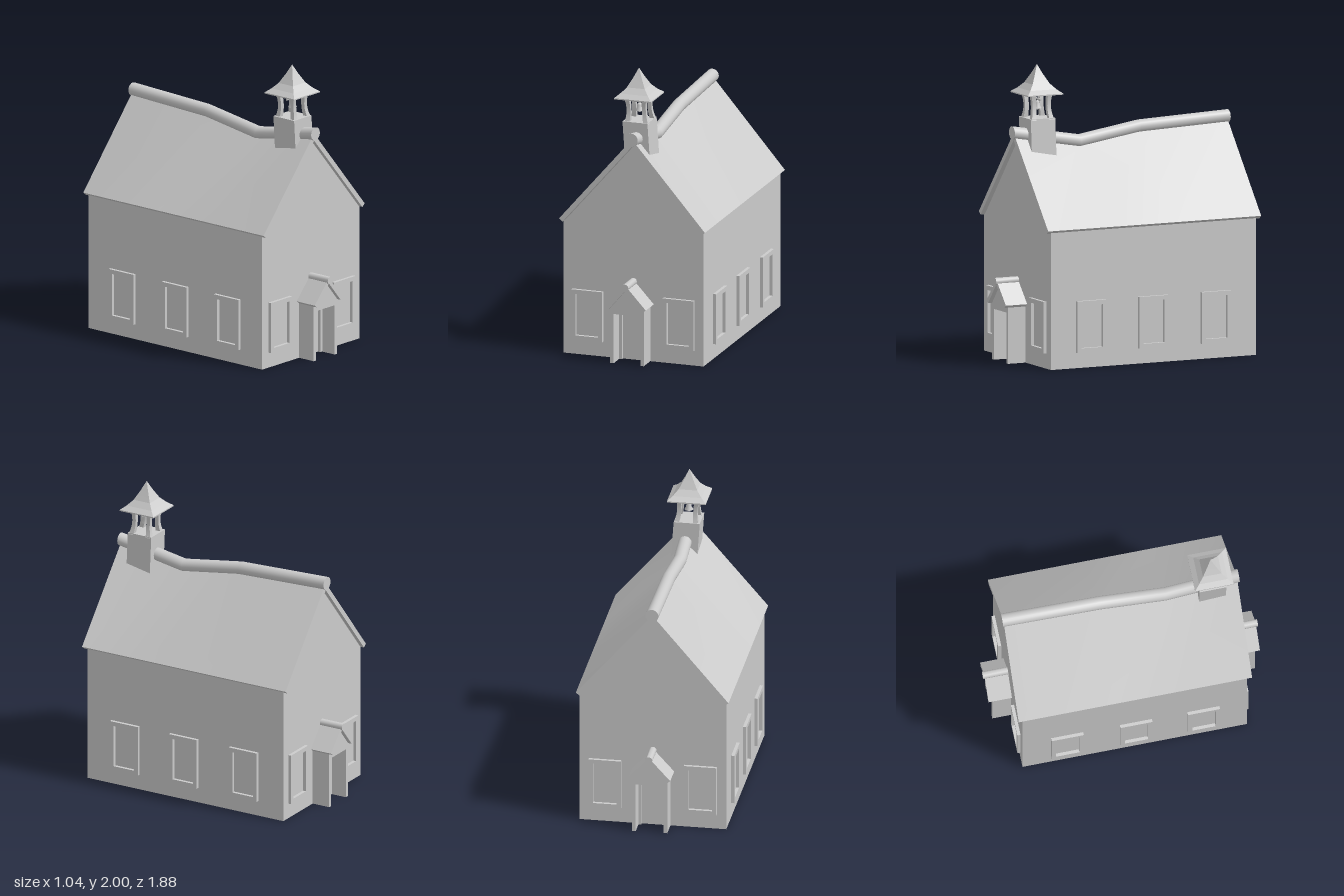
import * as THREE from 'three';
import { toCreasedNormals } from 'three/addons/utils/BufferGeometryUtils.js';

const grey = new THREE.MeshStandardMaterial({ color: 0xcccccc });
const greyDouble = new THREE.MeshStandardMaterial({ color: 0xcccccc, side: THREE.DoubleSide });

// Stations of the sagging ridge line: [z, height]
const RIDGE = [[0.8, 1.547], [0.31, 1.46], [-0.14, 1.53], [-0.8, 1.555]];

function add(parent, name, geometry, material = grey) {
  const mesh = new THREE.Mesh(geometry, material);
  mesh.name = name;
  parent.add(mesh);
  return mesh;
}

// Skins 2D outlines (counter-clockwise seen from +z) placed at falling z.
function loft(sections, zs, openBottom = false) {
  const pos = [];
  const put = (s, i) => {
    const p = sections[s][i % sections[s].length];
    pos.push(p[0], p[1], zs[s]);
  };
  const n = sections[0].length;
  for (let s = 0; s < zs.length - 1; s++) {
    for (let i = 0; i < (openBottom ? n - 1 : n); i++) {
      put(s, i); put(s + 1, i); put(s + 1, i + 1);
      put(s, i); put(s + 1, i + 1); put(s, i + 1);
    }
  }
  const last = zs.length - 1;
  for (const end of [0, last]) {
    const outline = sections[end].map(p => new THREE.Vector2(p[0], p[1]));
    for (const [a, b, c] of THREE.ShapeUtils.triangulateShape(outline, [])) {
      for (const i of end === 0 ? [a, b, c] : [a, c, b]) put(end, i);
    }
  }
  const g = new THREE.BufferGeometry();
  g.setAttribute('position', new THREE.Float32BufferAttribute(pos, 3));
  return toCreasedNormals(g, 0.6);
}

const circle = (r, cy, n = 20) => Array.from({ length: n }, (_, i) => {
  const a = i / n * Math.PI * 2;
  return [r * Math.cos(a), cy + r * Math.sin(a)];
});

// Chevron outline of a pitched roof slab
const chevron = (w, eave, apex, wIn, eaveIn, apexIn) =>
  [[w, eave], [0, apex], [-w, eave], [-wIn, eaveIn], [0, apexIn], [wIn, eaveIn]];

function polygon(points) {
  return new THREE.Shape(points.map(p => new THREE.Vector2(p[0], p[1])));
}

// Rectangular frame, centred in x, straddling z = 0
function frameGeometry(w, y0, y1, border, depth) {
  const shape = polygon([[-w / 2, y0], [w / 2, y0], [w / 2, y1], [-w / 2, y1]]);
  const x = w / 2 - border, a = y0 + border, b = y1 - border;
  shape.holes.push(polygon([[-x, a], [-x, b], [x, b], [x, a]]));
  return new THREE.ExtrudeGeometry(shape, { depth, bevelEnabled: false }).translate(0, 0, -depth / 2);
}

function makePorch() {
  const porch = new THREE.Group();
  // Side walls and gable around an open doorway
  const walls = polygon([[0.12, 0], [0.12, 0.4], [0, 0.535], [-0.12, 0.4], [-0.12, 0],
    [-0.095, 0], [-0.095, 0.345], [0.095, 0.345], [0.095, 0]]);
  add(porch, 'porchWalls', new THREE.ExtrudeGeometry(walls, { depth: 0.25, bevelEnabled: false })
    .translate(0, 0, 0.65));
  // Door frame against the house wall
  const frame = polygon([[0.095, 0], [0.095, 0.345], [-0.095, 0.345], [-0.095, 0],
    [-0.075, 0], [-0.075, 0.325], [0.075, 0.325], [0.075, 0]]);
  add(porch, 'doorFrame', new THREE.ExtrudeGeometry(frame, { depth: 0.04, bevelEnabled: false })
    .translate(0, 0, 0.75));
  const roof = chevron(0.145, 0.4, 0.558, 0.122, 0.382, 0.525);
  add(porch, 'porchRoof', loft([roof, roof], [0.93, 0.75]));
  const ridge = circle(0.025, 0.546, 16);
  add(porch, 'porchRidge', loft([ridge, ridge], [0.942, 0.75]));
  return porch;
}

function makeBelfry() {
  const belfry = new THREE.Group();
  belfry.name = 'belfry';
  belfry.position.set(-0.005, 0, 0.617);

  // Base block, leaning slightly sideways
  const base = new THREE.BoxGeometry(0.178, 0.26, 0.184).translate(0, 1.51, 0);
  const bp = base.attributes.position;
  for (let i = 0; i < bp.count; i++) {
    bp.setX(i, bp.getX(i) + (1.55 - bp.getY(i)) * 0.07);
  }
  base.computeVertexNormals();
  add(belfry, 'belfryBase', base);

  // Four posts, pinched inward at mid height
  for (const sx of [-1, 1]) {
    for (const sz of [-1, 1]) {
      const post = new THREE.BoxGeometry(0.034, 0.19, 0.034, 1, 6, 1);
      const p = post.attributes.position;
      for (let i = 0; i < p.count; i++) {
        const t = p.getY(i) / 0.095;
        const out = 0.055 + 0.012 * t * t;
        const scale = 0.8 + 0.25 * t * t;
        p.setXYZ(i, p.getX(i) * scale + sx * out - 0.006 * (t + 1),
          p.getY(i) + 1.725, p.getZ(i) * scale + sz * out);
      }
      post.computeVertexNormals();
      add(belfry, 'belfryPost', post);
    }
  }

  // Flared four-sided spire, square base half-width 0.132
  const k = Math.SQRT2;
  const profile = [[0, 1.8], [0.132 * k, 1.8], [0.132 * k, 1.808], [0.098 * k, 1.835],
    [0.064 * k, 1.872], [0.03 * k, 1.935], [0, 2]].map(p => new THREE.Vector2(p[0], p[1]));
  const spire = toCreasedNormals(new THREE.LatheGeometry(profile, 4).rotateY(Math.PI / 4), 0.1);
  add(belfry, 'spire', spire).position.x = -0.01;

  // Bell hanging on a crossbeam
  const beam = new THREE.CylinderGeometry(0.008, 0.008, 0.12, 10).rotateZ(Math.PI / 2);
  add(belfry, 'bellBeam', beam).position.set(-0.006, 1.765, 0);
  const bell = [[0, 1.755], [0.012, 1.752], [0.017, 1.742], [0.019, 1.72], [0.03, 1.702],
    [0.026, 1.702], [0.012, 1.725], [0, 1.735]].reverse().map(p => new THREE.Vector2(p[0], p[1]));
  add(belfry, 'bell', new THREE.LatheGeometry(bell, 20), greyDouble).position.x = -0.006;
  add(belfry, 'bellClapper', new THREE.SphereGeometry(0.008, 10, 8)).position.set(-0.006, 1.697, 0);
  return belfry;
}

export function createModel() {
  const church = new THREE.Group();
  church.name = 'chapel';

  // Walls with gables, open underneath
  const wallZ = [0.77, 0.31, -0.14, -0.77];
  add(church, 'walls', loft(RIDGE.map(([, y]) =>
    [[0.5, 0], [0.5, 0.935], [0, y - 0.03], [-0.5, 0.935], [-0.5, 0]]), wallZ, true), greyDouble);

  // Roof slab and ridge roll, both following the sagging ridge
  const roofZ = RIDGE.map(r => r[0]);
  add(church, 'roof', loft(RIDGE.map(([, y]) =>
    chevron(0.52, 0.945, y, 0.495, 0.925, y - 0.05)), roofZ));
  add(church, 'ridgeRoll', loft(RIDGE.map(([, y]) => circle(0.045, y)),
    [0.812, 0.31, -0.14, -0.81]));

  // Window frames: three on each long side, two on each gable end
  const windowFrame = frameGeometry(0.22, 0.105, 0.455, 0.03, 0.044);
  for (const s of [-1, 1]) {
    for (const z of [0.47, 0.007, -0.464]) {
      const w = add(church, 'sideWindow', windowFrame);
      w.position.set(s * 0.5, 0, z);
      w.rotation.y = Math.PI / 2;
    }
    for (const x of [-0.325, 0.325]) {
      add(church, s > 0 ? 'frontWindow' : 'backWindow', windowFrame).position.set(x, 0, s * 0.77);
    }
    // Matching porches front and back
    const porch = makePorch();
    porch.name = s > 0 ? 'frontPorch' : 'backPorch';
    porch.rotation.y = s > 0 ? 0 : Math.PI;
    church.add(porch);
  }

  church.add(makeBelfry());
  return church;
}
